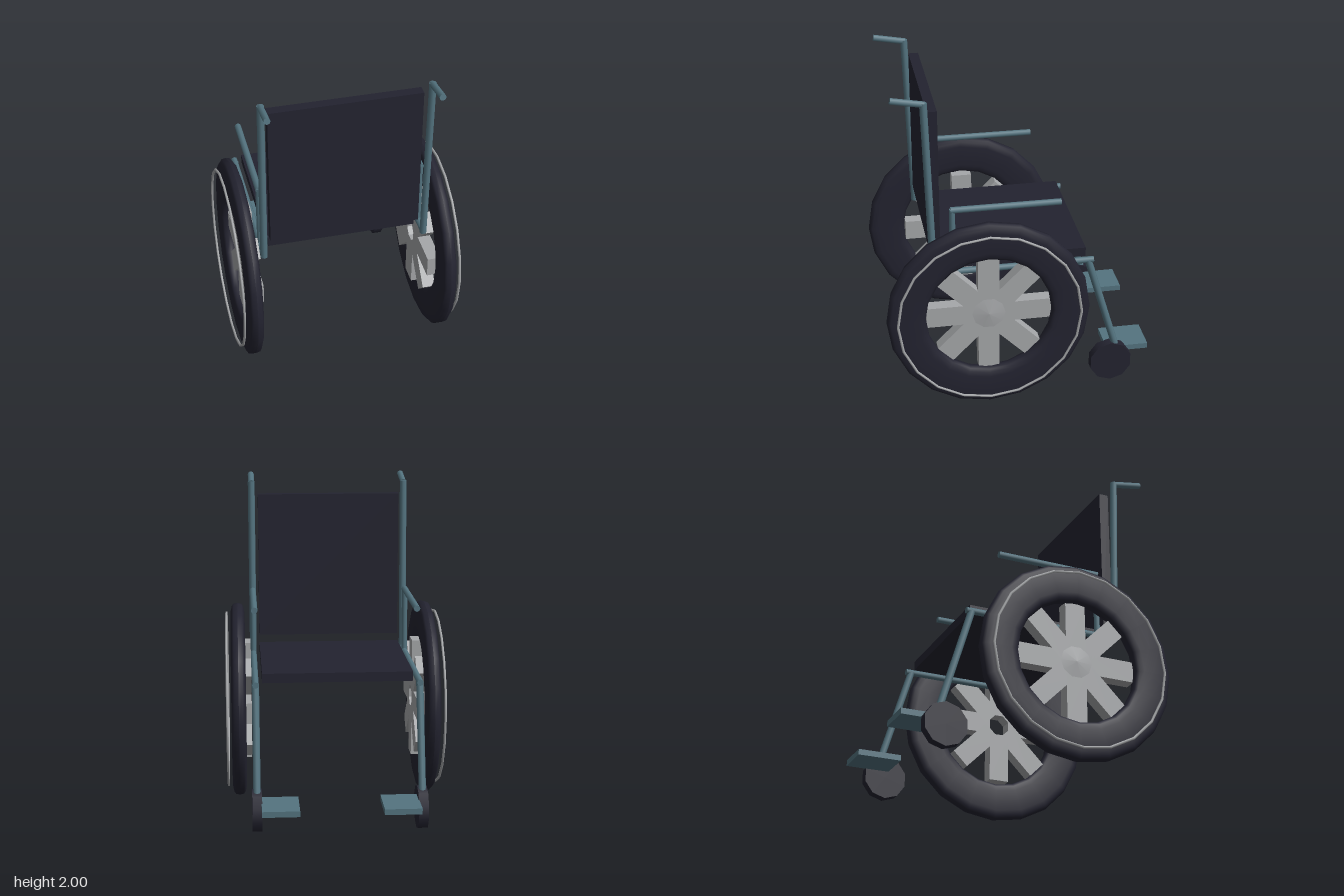
import * as THREE from 'three';

const fabricMat = new THREE.MeshStandardMaterial({ color: 0x232330 });
fabricMat.name = 'dark rubber and fabric';
const frameMat = new THREE.MeshStandardMaterial({ color: 0x547480 });
frameMat.name = 'teal frame';
const metalMat = new THREE.MeshStandardMaterial({ color: 0xa6a8aa });
metalMat.name = 'light metal';

function add(parent, name, geometry, material) {
  const mesh = new THREE.Mesh(geometry, material);
  mesh.name = name;
  parent.add(mesh);
  return mesh;
}

// box given by its lower and upper corners
function box(parent, name, a, b, material) {
  const g = new THREE.BoxGeometry(b[0] - a[0], b[1] - a[1], b[2] - a[2]);
  g.translate((a[0] + b[0]) / 2, (a[1] + b[1]) / 2, (a[2] + b[2]) / 2);
  return add(parent, name, g, material);
}

// straight tube between two [y, z] points in the side plane x
function tube(parent, name, x, a, b, radius = 0.022) {
  const p = new THREE.Vector3(x, a[0], a[1]);
  const q = new THREE.Vector3(x, b[0], b[1]);
  const dir = q.clone().sub(p);
  const mesh = add(parent, name, new THREE.CylinderGeometry(radius, radius, dir.length(), 8), frameMat);
  mesh.position.copy(p).add(q).multiplyScalar(0.5);
  mesh.quaternion.setFromUnitVectors(new THREE.Vector3(0, 1, 0), dir.normalize());
}

// wheel in its own frame: the axle is x, and +x points away from the chair
function driveWheel(side) {
  const wheel = new THREE.Group();
  wheel.name = 'driveWheel';

  // wide tyre with a softly squared section
  const profile = [];
  const soft = (v) => Math.sign(v) * Math.pow(Math.abs(v), 0.6);
  for (let i = 0; i <= 16; i++) {
    const t = (i / 16) * Math.PI * 2;
    profile.push(new THREE.Vector2(0.495 + 0.117 * soft(Math.cos(t)), 0.045 * soft(Math.sin(t))));
  }
  add(wheel, 'tyre', new THREE.LatheGeometry(profile, 20).rotateZ(-Math.PI / 2), fabricMat);

  // thin push ring outside the tyre
  const rim = add(wheel, 'pushRing', new THREE.TorusGeometry(0.55, 0.008, 6, 20).rotateY(Math.PI / 2), metalMat);
  rim.position.x = 0.07;

  // broad spokes leaving an open centre
  for (let i = 0; i < 8; i++) {
    const g = new THREE.BoxGeometry(0.08, 0.31, 0.128);
    g.translate(-0.04, 0.22, 0).rotateX((i * Math.PI) / 4);
    add(wheel, 'spoke', g, metalMat);
  }

  // shallow hub cap
  const cap = add(wheel, 'hubCap', new THREE.ConeGeometry(0.1, 0.012, 10, 1, true).rotateZ(-Math.PI / 2), metalMat);
  cap.position.x = 0.007;

  wheel.position.set(side * 0.59, 0.612, 0.203);
  if (side < 0) wheel.rotation.y = Math.PI;
  return wheel;
}

function sideAssembly(side) {
  const group = new THREE.Group();
  group.name = side > 0 ? 'leftSide' : 'rightSide';
  const x = side * 0.49;

  // tubular frame
  tube(group, 'backPost', x, [0.85, 0.515], [1.955, 0.55]);
  tube(group, 'pushHandle', x, [1.945, 0.545], [1.98, 0.735], 0.02);
  tube(group, 'seatRail', x, [0.862, 0.525], [0.862, -0.45], 0.02);
  tube(group, 'armrestPost', x, [0.862, 0.4], [1.275, 0.4], 0.018);
  tube(group, 'armrest', x, [1.27, 0.41], [1.27, -0.245], 0.02);
  tube(group, 'frontLeg', x, [0.865, -0.415], [0.2, -0.615]);

  // footplate
  const xs = [side * 0.245, side * 0.465].sort((a, b) => a - b);
  box(group, 'footplate', [xs[0], 0.17, -0.82], [xs[1], 0.205, -0.555], frameMat);

  // caster with a corner at the top and the bottom
  const caster = new THREE.CylinderGeometry(0.132, 0.132, 0.058, 10).rotateY(Math.PI / 2).rotateZ(Math.PI / 2);
  add(group, 'caster', caster, fabricMat).position.set(x, 0.132, -0.573);

  group.add(driveWheel(side));
  return group;
}

export function createModel() {
  const model = new THREE.Group();
  model.name = 'wheelchair';
  box(model, 'seat', [-0.45, 0.865, -0.41], [0.45, 0.922, 0.445], fabricMat);
  box(model, 'backrest', [-0.45, 0.965, 0.468], [0.45, 1.88, 0.528], fabricMat);
  for (const side of [1, -1]) model.add(sideAssembly(side));
  return model;
}
